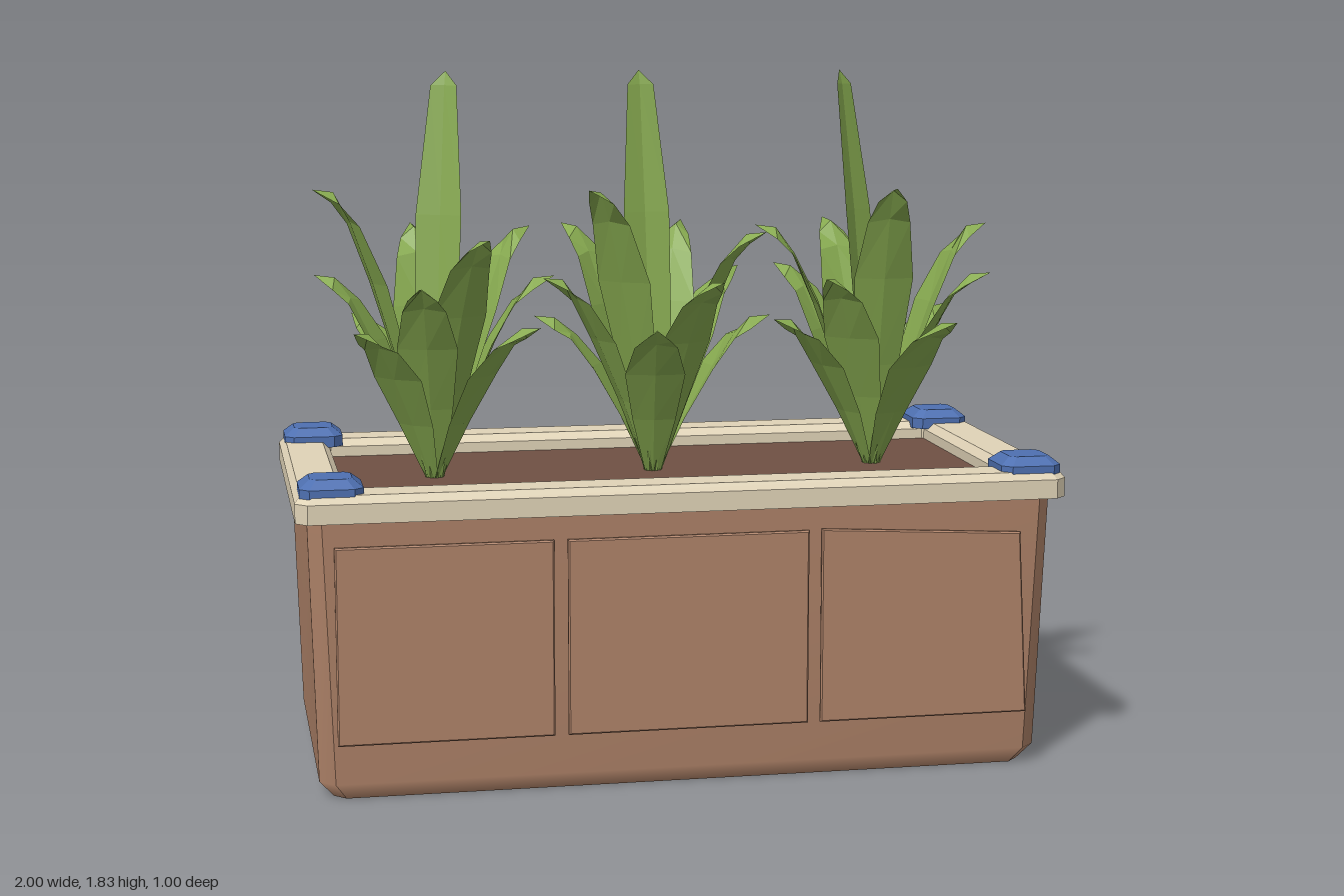
import * as THREE from 'three';
import { mergeGeometries, mergeVertices } from 'three/addons/utils/BufferGeometryUtils.js';

const material = (name, color, side = THREE.FrontSide) => {
  const m = new THREE.MeshStandardMaterial({ color, side });
  m.name = name;
  return m;
};

// Unshared vertices, so every facet gets its own flat normal.
function facets(points) {
  const g = new THREE.BufferGeometry();
  g.setAttribute('position', new THREE.Float32BufferAttribute(points.flat(), 3));
  g.computeVertexNormals();
  return g;
}

// Rectangle with cut corners at height y.
function ring([hx, hz, c, y]) {
  return [
    [-hx + c, y, hz], [hx - c, y, hz], [hx, y, hz - c], [hx, y, -hz + c],
    [hx - c, y, -hz], [-hx + c, y, -hz], [-hx, y, -hz + c], [-hx, y, hz - c],
  ];
}

// Triangles of side j between successive rings.
function strip(rings, j) {
  const k = (j + 1) % 8, out = [];
  for (let i = 0; i < rings.length - 1; i++) {
    const a = rings[i], b = rings[i + 1];
    out.push(a[j], a[k], b[k], a[j], b[k], b[j]);
  }
  return out;
}

// Faceted loft through the rings; optionally fills the last one.
function loft(profile, capTop = false) {
  const rings = profile.map(ring), out = [];
  for (let j = 0; j < 8; j++) out.push(...strip(rings, j));
  if (capTop) {
    const top = rings[rings.length - 1];
    for (let j = 1; j < 7; j++) out.push(top[0], top[j], top[j + 1]);
  }
  return facets(out);
}

// Loft that is smooth up each side and sharp at the upright corners.
function softLoft(profile) {
  const rings = profile.map(ring), sides = [];
  for (let j = 0; j < 8; j++) {
    const side = facets(strip(rings, j));
    side.deleteAttribute('normal');
    const shared = mergeVertices(side);
    shared.computeVertexNormals();
    sides.push(shared);
  }
  return mergeGeometries(sides);
}

// Ribbed leaf along +x; rows are [reach, height fraction, half width, edge pull-in, edge droop].
function leafGeometry(rows, height) {
  const s = rows.map(([r, y, w, fold, droop]) => [
    [r - fold, y * height - droop, w], [r, y * height, 0], [r - fold, y * height - droop, -w],
  ]);
  const out = [];
  for (let i = 0; i < s.length - 1; i++) {
    for (let j = 0; j < 2; j++) {
      const a = s[i][j], b = s[i][j + 1], c = s[i + 1][j + 1], d = s[i + 1][j];
      if (i === s.length - 2) out.push(a, b, s[i + 1][1]);
      else out.push(a, b, c, a, c, d);
    }
  }
  return facets(out);
}

// Thin bevelled panel from its outline corners.
function panelGeometry(corners) {
  const bevel = 0.004;
  const shape = new THREE.Shape(corners.map(([x, y]) => new THREE.Vector2(x, y)));
  return new THREE.ExtrudeGeometry(shape, {
    depth: 0.006, bevelEnabled: true, bevelThickness: bevel, bevelSize: bevel,
    bevelOffset: -bevel, bevelSegments: 1,
  });
}

export function createModel() {
  const model = new THREE.Group();
  model.name = 'planter';
  const clay = material('clay', 0xae8268, THREE.DoubleSide);
  const cream = material('cream', 0xe0d3b7);
  const blue = material('blue', 0x4e70b1);
  const earth = material('earth', 0x6f5044);
  const green = material('leaf green', 0x87aa50, THREE.DoubleSide);

  const add = (parent, name, geometry, mat) => {
    const mesh = new THREE.Mesh(geometry, mat);
    mesh.name = name;
    parent.add(mesh);
    return mesh;
  };

  // Tapered trough, open underneath
  add(model, 'trough', softLoft([
    [0.912, 0.412, 0.03, 0], [0.95, 0.442, 0.04, 0.045], [0.97, 0.465, 0.035, 0.74],
  ]), clay);

  // Rim with a bevelled top and a rectangular opening
  add(model, 'rim', loft([
    [0.865, 0.365, 0.005, 0.73], [1, 0.5, 0.03, 0.73],
    [1, 0.5, 0.03, 0.78], [0.985, 0.485, 0.03, 0.8], [0.885, 0.385, 0.005, 0.8],
    [0.865, 0.365, 0.005, 0.78], [0.865, 0.365, 0.005, 0.73],
  ]), cream);

  // Soil
  const soil = add(model, 'soil', new THREE.BoxGeometry(1.75, 0.02, 0.75), earth);
  soil.position.y = 0.742;

  // Raised panels on both long sides; one front panel is crooked
  const box = (x0, x1) => [[x0, 0.155], [x1, 0.155], [x1, 0.665], [x0, 0.665]];
  const outer = box(-0.905, -0.352), middle = box(-0.317, 0.312);
  const crooked = [[0.345, 0.155], [0.905, 0.155], [0.88, 0.64], [0.345, 0.668]];
  const sides = [
    ['front', 0, [outer, middle, crooked]],
    ['back', Math.PI, [outer, middle, box(0.35, 0.905)]],
  ];
  for (const [side, turn, outlines] of sides) {
    const group = new THREE.Group();
    group.name = side + 'Panels';
    group.rotation.y = turn;
    model.add(group);
    for (const outline of outlines) {
      add(group, 'panel', panelGeometry(outline), clay).position.z = 0.4685;
    }
  }

  // Corner clips
  const clip = loft([
    [0.08, 0.08, 0.024, 0.785], [0.08, 0.08, 0.024, 0.815], [0.053, 0.053, 0.015, 0.837],
  ], true);
  for (const x of [-0.908, 0.908]) {
    for (const z of [-0.408, 0.408]) add(model, 'cornerClip', clip, blue).position.set(x, 0, z);
  }

  // Plants: a ring of arching leaves around one tall upright leaf
  const base = 0.745;
  const arching = [
    [0.015, 0, 0.02, 0.005, 0], [0.09, 0.37, 0.058, 0.012, 0], [0.165, 0.68, 0.08, 0.015, 0],
    [0.225, 0.89, 0.057, 0.01, 0.01], [0.268, 0.99, 0.038, 0.005, 0.03], [0.325, 1, 0, 0, 0],
  ];
  const upright = [
    [0.01, 0, 0.02, 0.005, 0], [0.03, 0.35, 0.06, 0.012, 0], [0.062, 0.65, 0.065, 0.012, 0],
    [0.105, 0.965, 0.037, 0.006, 0], [0.115, 1, 0, 0, 0],
  ];
  const tops = [1.41, 1.29, 1.17];
  const count = 11;
  [-0.605, -0.01, 0.605].forEach((x, p) => {
    const plant = new THREE.Group();
    plant.name = 'plant';
    plant.position.set(x, base, 0);
    plant.rotation.y = THREE.MathUtils.degToRad(36 * p);
    model.add(plant);
    for (let i = 0; i < count; i++) {
      const top = i === 6 ? 1.53 : tops[i % 3];
      const leaf = add(plant, 'leaf', leafGeometry(arching, top - base), green);
      leaf.rotation.y = THREE.MathUtils.degToRad(29.5 - (360 / count) * i);
    }
    const tall = add(plant, 'tallLeaf', leafGeometry(upright, 1.83 - base), green);
    tall.rotation.y = THREE.MathUtils.degToRad(63);
  });

  return model;
}
